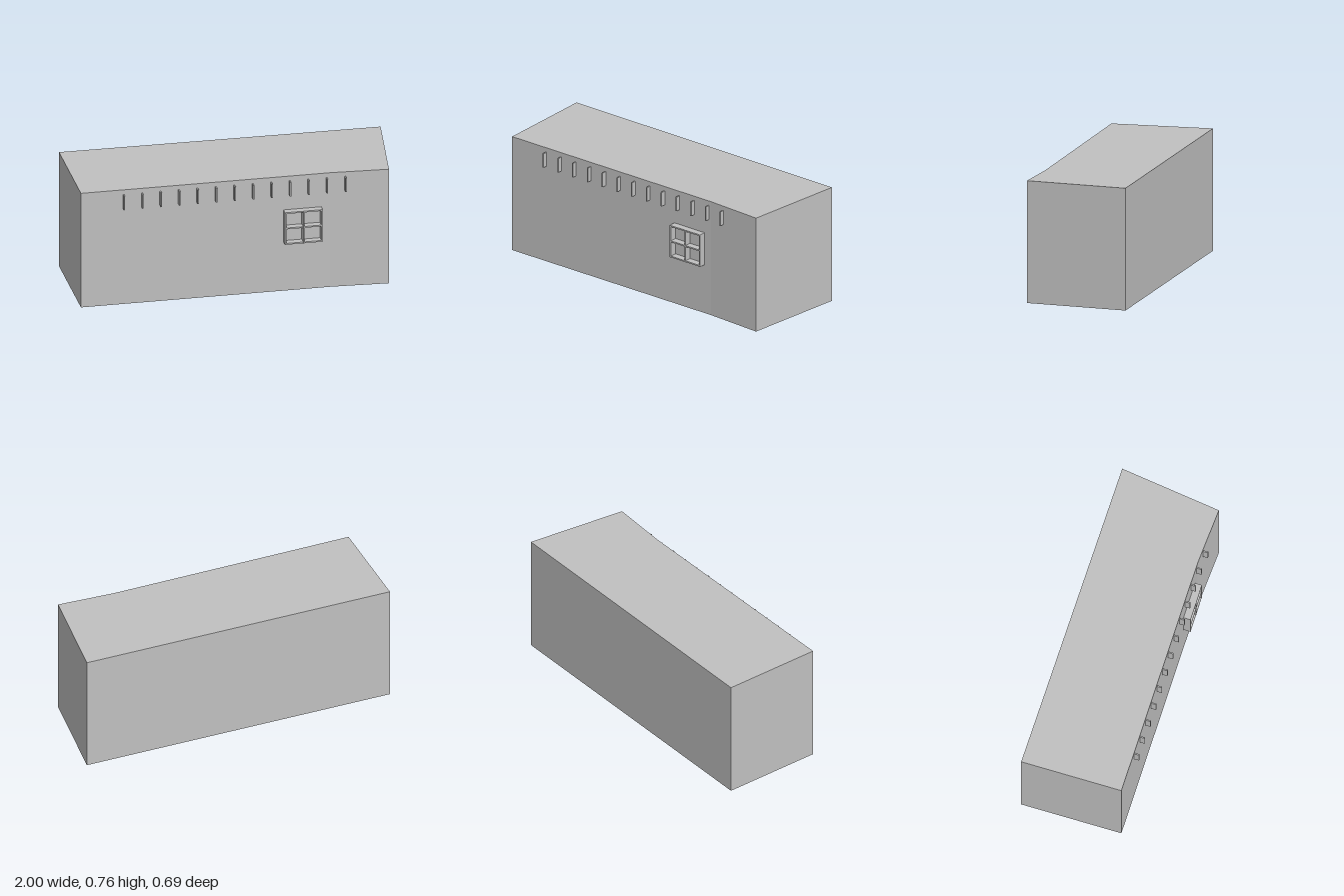
import * as THREE from 'three';

const HEIGHT = 0.76;
// Floor plan [x, z], counter-clockwise seen from above
const PLAN = [[-1, 0.293], [0.55, 0.304], [0.915, 0.327], [1, -0.316], [-1, -0.347]];

// z of the slightly bent front wall at a given x
function frontZ(x) {
  const [a, b] = x < PLAN[1][0] ? [PLAN[0], PLAN[1]] : [PLAN[1], PLAN[2]];
  return a[1] + (b[1] - a[1]) * (x - a[0]) / (b[0] - a[0]);
}

// One quad per plan edge, open underneath
function wallGeometry() {
  const positions = [];
  PLAN.forEach(([x0, z0], i) => {
    const [x1, z1] = PLAN[(i + 1) % PLAN.length];
    positions.push(x0, 0, z0, x1, 0, z1, x1, HEIGHT, z1);
    positions.push(x0, 0, z0, x1, HEIGHT, z1, x0, HEIGHT, z0);
  });
  const geometry = new THREE.BufferGeometry();
  geometry.setAttribute('position', new THREE.Float32BufferAttribute(positions, 3));
  geometry.computeVertexNormals();
  return geometry;
}

export function createModel() {
  const model = new THREE.Group();
  model.name = 'building';
  const grey = new THREE.MeshStandardMaterial({ color: 0xc0c0c0, side: THREE.DoubleSide });
  grey.name = 'plain grey';

  function add(parent, name, geometry) {
    const mesh = new THREE.Mesh(geometry, grey);
    mesh.name = name;
    parent.add(mesh);
    return mesh;
  }
  function bar(parent, name, x, y, w, h, zBack, zFront) {
    add(parent, name, new THREE.BoxGeometry(w, h, zFront - zBack))
      .position.set(x, y, (zBack + zFront) / 2);
  }

  // Shell
  add(model, 'walls', wallGeometry());
  const outline = new THREE.Shape(PLAN.map(([x, z]) => new THREE.Vector2(x, -z)));
  add(model, 'roof', new THREE.ShapeGeometry(outline).rotateX(-Math.PI / 2).translate(0, HEIGHT, 0));

  // Row of upright fins below the roof edge
  const fins = new THREE.Group();
  fins.name = 'fins';
  model.add(fins);
  for (let i = 0; i < 13; i++) {
    const x = -0.735 + i * 0.115;
    const z = frontZ(x);
    bar(fins, 'fin', x, 0.684, 0.008, 0.093, z, z + 0.031);
  }

  // Window frame: three uprights and three rails
  const frame = new THREE.Group();
  frame.name = 'windowFrame';
  model.add(frame);
  const [cx, cy, width, height, t] = [0.38, 0.431, 0.236, 0.214, 0.009];
  for (const i of [-1, 0, 1]) {
    const x = cx + i * (width - t) / 2;
    bar(frame, 'upright', x, cy, t, height, frontZ(x) - (i ? 0 : 0.001), 0.348);
    bar(frame, 'rail', cx, cy + i * (height - t) / 2, width, t, frontZ(cx) - 0.002, 0.347);
  }
  return model;
}
